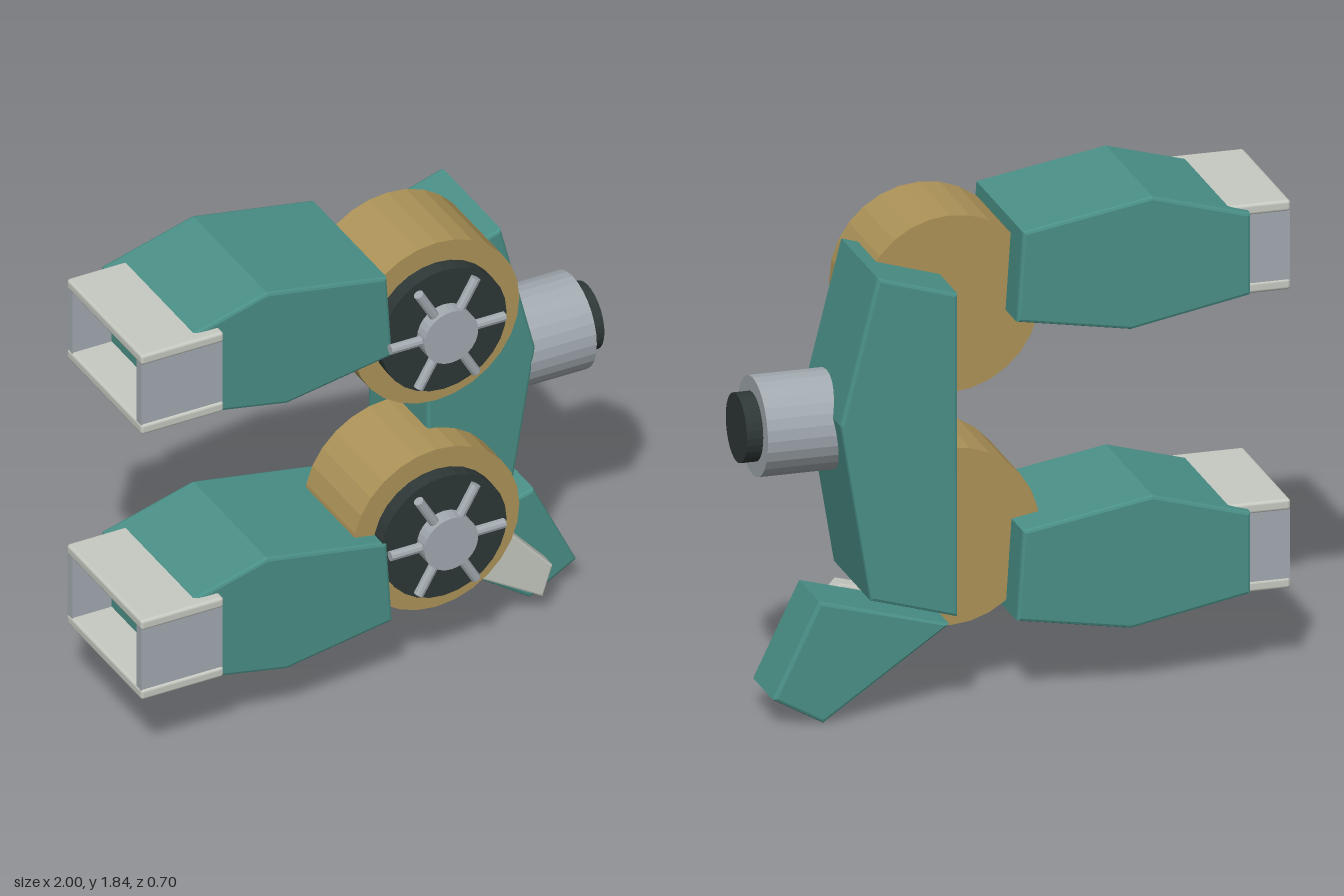
import * as THREE from 'three';
import { RoundedBoxGeometry } from 'three/addons/geometries/RoundedBoxGeometry.js';

const mat = (name, color, flatShading = false) => {
  const m = new THREE.MeshStandardMaterial({ color, flatShading });
  m.name = name;
  return m;
};

export function createModel() {
  const teal = mat('teal', 0x4a9087);
  const gold = mat('ochre', 0xad9358, true);
  const dark = mat('charcoal', 0x2e3837, true);
  const silver = mat('silver', 0xa2aab0, true);
  const ivory = mat('ivory', 0xc6cac1);

  const model = new THREE.Group();
  model.name = 'model';

  const add = (parent, name, geometry, material, x = 0, y = 0, z = 0) => {
    const mesh = new THREE.Mesh(geometry, material);
    mesh.name = name;
    mesh.position.set(x, y, z);
    parent.add(mesh);
    return mesh;
  };

  // Side profile extruded from z0 to z1 with a small chamfer inside the outline
  const slab = (points, z0, z1, bevel = 0.012) => {
    const shape = new THREE.Shape(points.map(([x, y]) => new THREE.Vector2(x, y)));
    return new THREE.ExtrudeGeometry(shape, {
      depth: z1 - z0 - 2 * bevel, bevelSize: bevel, bevelThickness: bevel,
      bevelOffset: -bevel, bevelSegments: 2,
    }).translate(0, 0, z0 + bevel);
  };

  // Cylinder along z or x between two positions
  const rodZ = (r, z0, z1, sides = 28) =>
    new THREE.CylinderGeometry(r, r, z1 - z0, sides).rotateX(Math.PI / 2).translate(0, 0, (z0 + z1) / 2);
  const rodX = (r, x0, x1, sides = 28) =>
    new THREE.CylinderGeometry(r, r, x1 - x0, sides).rotateZ(Math.PI / 2).translate((x0 + x1) / 2, 0, 0);

  // Angled spine block
  add(model, 'spine', slab([
    [0.265, 0.38], [0.587, 0.475], [0.697, 1.14], [0.56, 1.68], [0.265, 1.59],
  ], -0.35, 0.1), teal);

  // Rear stub with dark plug
  add(model, 'stub', rodX(0.182, 0.55, 0.94), silver, 0, 1.077, -0.083);
  add(model, 'stubPlug', rodX(0.126, 0.92, 1), dark, 0, 1.077, -0.083);

  // Lower heel and its side fin
  add(model, 'heel', slab([
    [0.27, 0.325], [0.735, 0.004], [0.92, 0.11], [0.75, 0.46],
  ], -0.268, -0.013), teal);
  add(model, 'fin', slab([
    [0.35, 0.31], [0.72, 0.085], [0.76, 0.206], [0.58, 0.407], [0.37, 0.35],
  ], 0.03, 0.11, 0.008), ivory);

  // Two joint wheels with spoked hubs
  for (const [name, y] of [['lowerWheel', 0.602], ['upperWheel', 1.474]]) {
    const wheel = new THREE.Group();
    wheel.name = name;
    wheel.position.set(0.227, y, 0);
    add(wheel, 'rim', rodZ(0.332, -0.13, 0.235), gold);
    add(wheel, 'disc', rodZ(0.25, 0.2, 0.293), dark);
    add(wheel, 'hub', rodZ(0.107, 0.28, 0.35), silver);
    for (let i = 0; i < 6; i++) {
      add(wheel, 'spoke', rodX(0.019, 0.05, 0.228, 10), silver, 0, 0, 0.318).rotation.z = i * Math.PI / 3;
    }
    model.add(wheel);
  }

  // Two arms, each ending in an open rectangular sleeve
  for (const [name, y] of [['lowerArm', 0], ['upperArm', 1.12]]) {
    const arm = new THREE.Group();
    arm.name = name;
    arm.position.y = y;
    add(arm, 'forearm', slab([
      [-0.84, 0.32], [-0.4, 0.237], [0.022, 0.31], [0, 0.645], [-0.478, 0.727], [-0.84, 0.625],
    ], -0.27, 0.298), teal);
    for (const plateY of [0.331, 0.624]) {
      add(arm, 'sleevePlate', new RoundedBoxGeometry(0.33, 0.042, 0.565, 2, 0.012), ivory, -0.835, plateY, 0.052);
    }
    for (const wallZ of [-0.209, 0.309]) {
      add(arm, 'sleeveWall', new THREE.BoxGeometry(0.324, 0.26, 0.036), silver, -0.835, 0.4775, wallZ);
    }
    model.add(arm);
  }

  return model;
}
